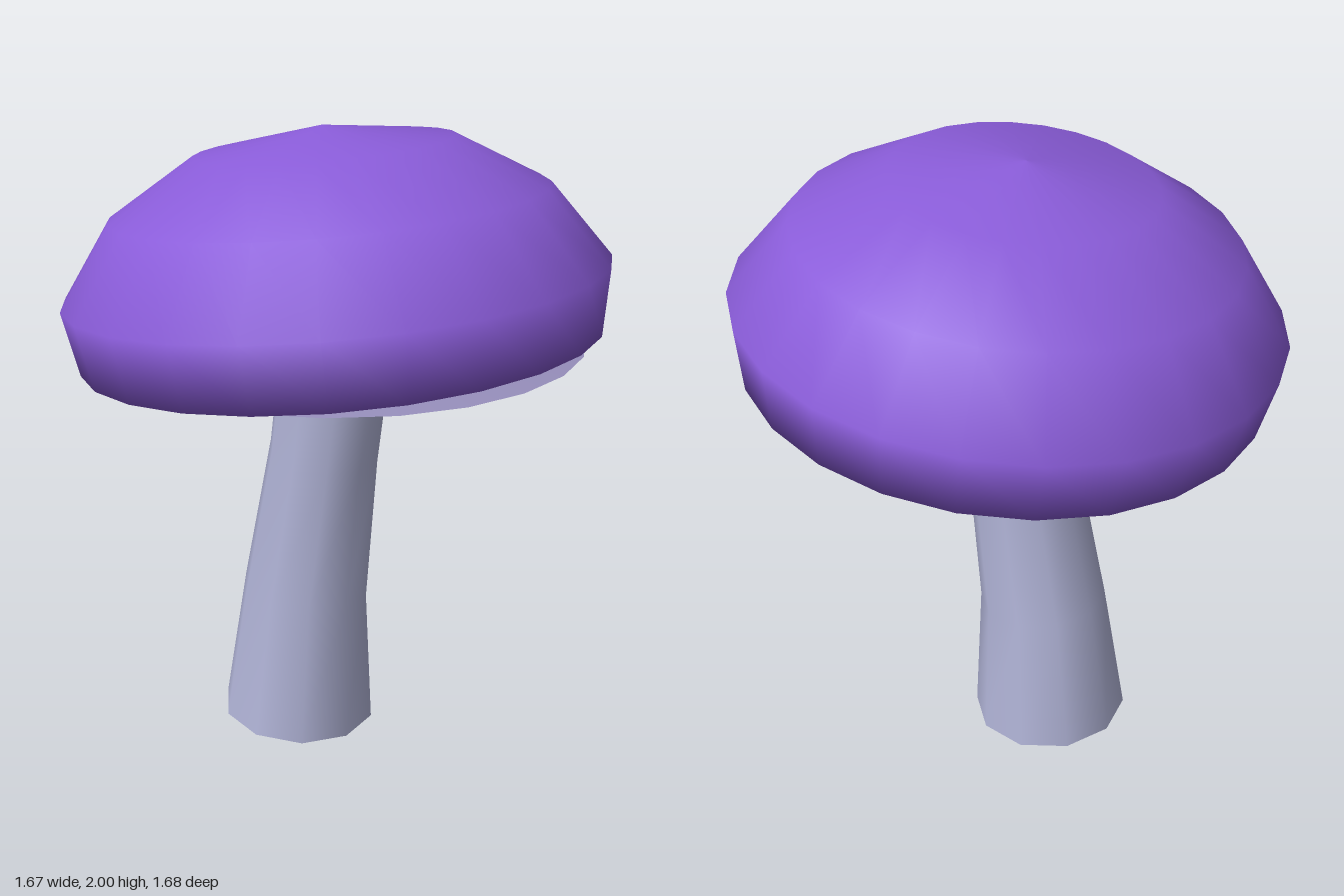
import * as THREE from 'three';

const mat = (name, color) => {
  const m = new THREE.MeshStandardMaterial({ color, side: THREE.DoubleSide });
  m.name = name;
  return m;
};

const lathe = (points, sides) =>
  new THREE.LatheGeometry(points.map(([r, y]) => new THREE.Vector2(r, y)), sides);

export function createModel() {
  const group = new THREE.Group();
  group.name = 'mushroom';
  const purple = mat('cap purple', 0x8a5cd9);
  const pale = mat('stem lavender grey', 0xb0b3d6);
  const grey = mat('gill grey', 0x978fbc);

  const add = (name, geometry, material) => {
    const mesh = new THREE.Mesh(geometry, material);
    mesh.name = name;
    group.add(mesh);
    return mesh;
  };

  // Tilted cap: hollow underside, rim, then dome up to the apex
  const cap = add('cap', lathe([
    [0.22, 0.075], [0.805, 0], [0.84, 0.2], [0.67, 0.437], [0.397, 0.6], [0, 0.66],
  ], 24), purple);
  cap.position.set(0.02, 1.345, 0);
  cap.rotation.z = 0.106;

  // Level, shallow cone of gills around the stem
  const gills = add('gills', lathe([[0.19, 0.075], [0.77, 0]], 24), grey);
  gills.position.y = 1.36;

  // Bent, open-ended stem: each ring is [centre x, centre y, radius, tilt]
  const rings = [
    [-0.147, 0.02, 0.255, -0.063],
    [-0.115, 0.48, 0.207, -0.1],
    [-0.042, 0.97, 0.177, -0.13],
    [0.02, 1.44, 0.176, -0.1],
  ];
  const sides = 10;
  const stem = new THREE.CylinderGeometry(1, 1, 1, sides, rings.length - 1, true);
  const pos = stem.attributes.position;
  for (let i = 0; i < pos.count; i++) {
    const row = rings.length - 1 - Math.floor(i / (sides + 1));
    const [cx, cy, r, tilt] = rings[row];
    const x = pos.getX(i) * r;
    pos.setXYZ(i, cx + x * Math.cos(tilt), cy + x * Math.sin(tilt), pos.getZ(i) * r + 0.006);
  }
  // Average normals, then match them across the seam
  stem.computeVertexNormals();
  const n = stem.attributes.normal;
  for (let row = 0; row < rings.length; row++) {
    const a = row * (sides + 1), b = a + sides;
    const v = new THREE.Vector3().fromBufferAttribute(n, a)
      .add(new THREE.Vector3().fromBufferAttribute(n, b)).normalize();
    n.setXYZ(a, v.x, v.y, v.z);
    n.setXYZ(b, v.x, v.y, v.z);
  }
  add('stem', stem, pale);

  return group;
}
